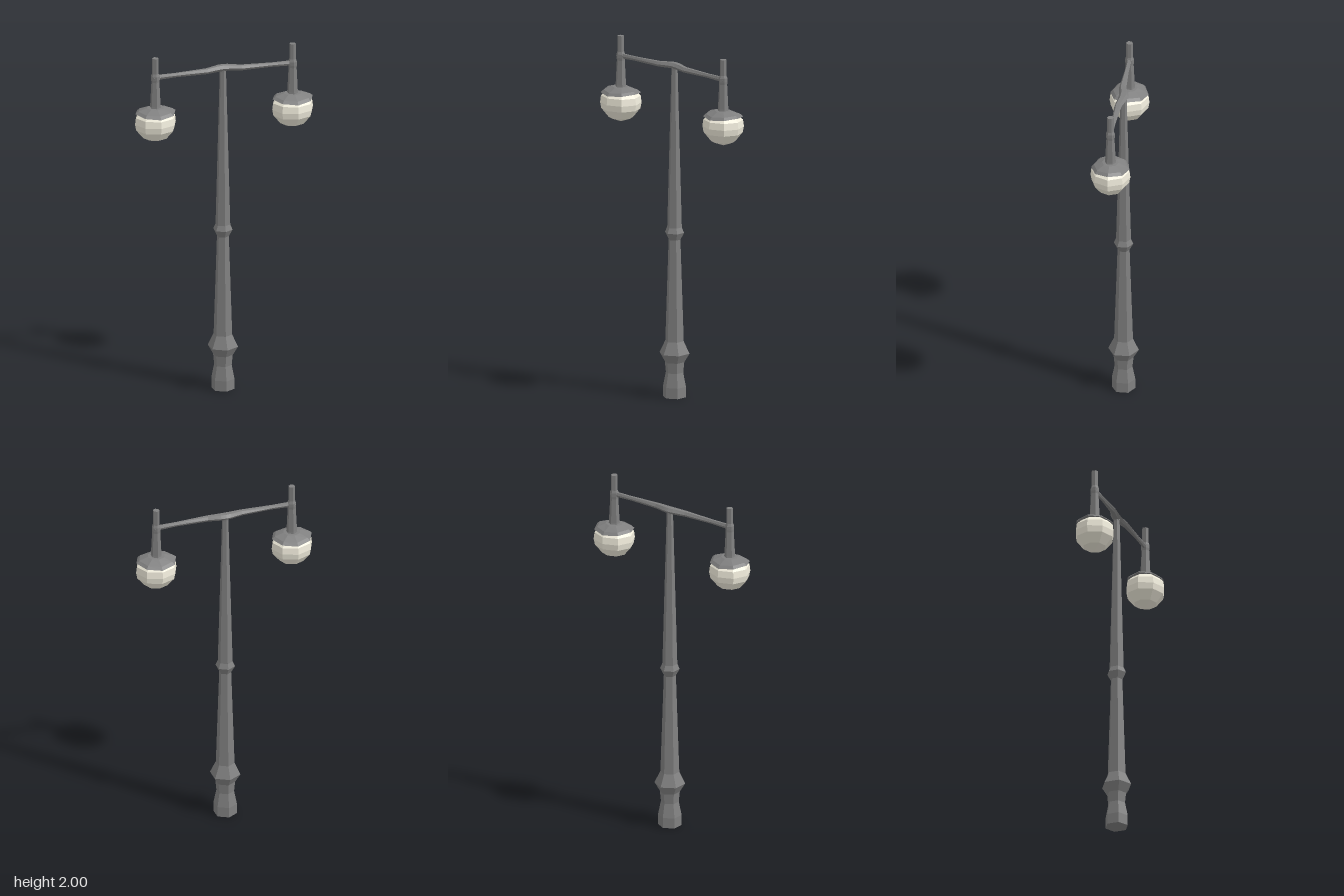
import * as THREE from 'three';

const metal = new THREE.MeshStandardMaterial({ color: 0x808080, flatShading: true, side: THREE.DoubleSide });
const glass = new THREE.MeshStandardMaterial({ color: 0xf0ecdc, flatShading: true });

// Faceted turned part from [radius, height] pairs, bottom to top
function turned(name, profile, sides, material) {
  const points = profile.map(([r, y]) => new THREE.Vector2(r, y));
  const mesh = new THREE.Mesh(new THREE.LatheGeometry(points, sides), material);
  mesh.name = name;
  return mesh;
}

// Six-sided bar along x that swells and bends back over the post
function crossArm() {
  // x, centre y, centre z, half height, half depth
  const half = [
    [0, 1.895, -0.02, 0.016, 0.028],
    [0.03, 1.894, -0.017, 0.016, 0.026],
    [0.1, 1.89, -0.002, 0.014, 0.02],
    [0.28, 1.888, 0, 0.011, 0.012],
    [0.375, 1.886, 0, 0.013, 0.012],
    [0.415, 1.885, 0, 0.015, 0.02],
  ];
  const stations = [
    ...half.slice(1).reverse().map(([x, ...rest]) => [-x, ...rest]),
    ...half,
  ];
  const n = stations.length - 1;
  const geometry = new THREE.CylinderGeometry(1, 1, n, 6, n);
  geometry.rotateZ(-Math.PI / 2);
  const p = geometry.attributes.position;
  for (let i = 0; i < p.count; i++) {
    const [x, y, z, h, d] = stations[Math.round(p.getX(i) + n / 2)];
    p.setXYZ(i, x, y + p.getY(i) * h / 0.866, z + p.getZ(i) * d);
  }
  geometry.computeVertexNormals();
  const mesh = new THREE.Mesh(geometry, metal);
  mesh.name = 'crossArm';
  return mesh;
}

// Hanger, hood and globe at one end of the arm
function lamp(name, x) {
  const group = new THREE.Group();
  group.name = name;
  group.position.x = x;

  const hanger = turned('hanger', [
    [0, 1.69], [0.034, 1.69], [0.03, 1.72], [0.023, 1.86],
    [0.025, 1.875], [0.025, 1.895], [0.019, 1.91], [0.019, 2], [0, 2],
  ], 6, metal);

  const hood = turned('hood', [[0.117, 1.682], [0.1, 1.695], [0.05, 1.71], [0, 1.712]], 8, metal);
  // The hood's rim hugs the globe at front and back and flares at the sides
  const p = hood.geometry.attributes.position;
  for (let i = 0; i < p.count; i++) {
    const z = p.getZ(i);
    p.setZ(i, z * 0.92);
    p.setY(i, p.getY(i) - 0.9 * z * z);
  }

  const globe = turned('globe', [
    [0, 1.51], [0.07, 1.535], [0.112, 1.585], [0.119, 1.62],
    [0.114, 1.658], [0.085, 1.685], [0, 1.692],
  ], 8, glass);
  globe.scale.z = 0.94;

  group.add(hanger, hood, globe);
  return group;
}

export function createModel() {
  const model = new THREE.Group();
  model.name = 'doubleStreetLamp';

  // Hexagonal post with flared foot, lower collar and middle ring
  const post = turned('post', [
    [0, 0], [0.066, 0], [0.066, 0.06], [0.05, 0.14], [0.056, 0.2],
    [0.086, 0.25], [0.053, 0.32], [0.034, 0.9], [0.055, 0.94],
    [0.042, 0.97], [0.018, 1.87], [0.02, 1.9], [0, 1.905],
  ], 6, metal);
  post.position.z = -0.02;

  model.add(post, crossArm(), lamp('leftLamp', 0.4), lamp('rightLamp', -0.4));
  return model;
}
